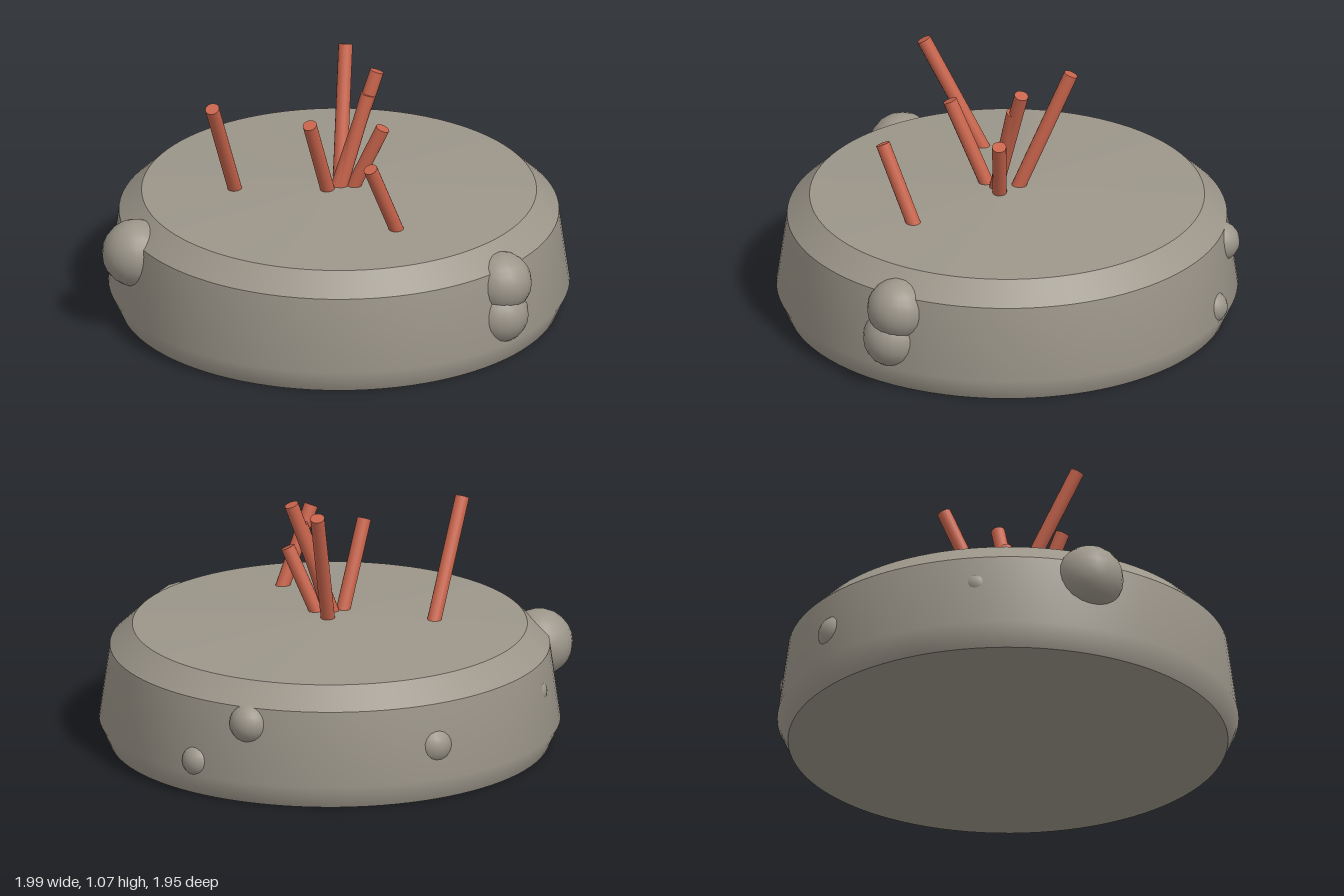
import * as THREE from 'three';

export function createModel() {
  const model = new THREE.Group();
  const stone = new THREE.MeshStandardMaterial({ color: 0x9c968a });
  const rust = new THREE.MeshStandardMaterial({ color: 0xc8644c });
  stone.name = 'stone';
  rust.name = 'rust';
  const CX = -0.025, CZ = -0.01; // axis of the slab

  const add = (name, geometry, material, x, y, z) => {
    const mesh = new THREE.Mesh(geometry, material);
    mesh.name = name;
    mesh.position.set(x, y, z);
    model.add(mesh);
    return mesh;
  };

  // Slab: one lathe per band, so the edges between bands stay sharp
  const bands = {
    slabBottom: [[0, 0], [0.925, 0]],
    slabWall: [[0.925, 0], [0.97, 0.1], [0.925, 0.42]],
    slabBevel: [[0.925, 0.42], [0.83, 0.51]],
    slabTop: [[0.83, 0.51], [0, 0.555]],
  };
  for (const [name, profile] of Object.entries(bands)) {
    const points = profile.map(([r, y]) => new THREE.Vector2(r, y));
    add(name, new THREE.LatheGeometry(points, 96), stone, CX, 0, CZ);
  }

  // Rounded stones sunk into the rim: x, y, z, radius
  const lumps = [
    [-0.365, 0.355, 0.83, 0.143],
    [0.86, 0.345, -0.135, 0.13],
    [0.87, 0.21, -0.115, 0.125],
    [-0.91, 0.235, -0.125, 0.085],
    [-0.5, 0.345, -0.775, 0.085],
    [-0.298, 0.15, -0.892, 0.07],
    [-0.734, 0.295, 0.53, 0.06],
  ];
  for (const [x, y, z, r] of lumps) {
    add('rimStone', new THREE.SphereGeometry(r, 18, 12), stone, x, y, z);
  }

  // Bent reinforcing rods: base point, tip point
  const rods = [
    [[-0.045, 0.5, -0.03], [-0.207, 1.06, -0.208]],
    [[0, 0.5, 0.04], [0.055, 1.04, -0.152]],
    [[0.01, 0.5, 0.03], [0.05, 0.945, -0.105]],
    [[0.03, 0.5, -0.015], [0.145, 0.82, -0.105]],
    [[-0.005, 0.5, 0.06], [0.06, 0.905, 0.23]],
    [[-0.298, 0.5, 0.325], [-0.18, 1.0, 0.565]],
    [[0.463, 0.49, 0.085], [0.475, 0.85, 0.257]],
  ];
  const up = new THREE.Vector3(0, 1, 0);
  for (const [base, tip] of rods) {
    const a = new THREE.Vector3(...base), b = new THREE.Vector3(...tip);
    const dir = b.clone().sub(a);
    const mid = a.clone().add(b).multiplyScalar(0.5);
    const rod = add('rod', new THREE.CylinderGeometry(0.03, 0.03, dir.length(), 16), rust, mid.x, mid.y, mid.z);
    rod.quaternion.setFromUnitVectors(up, dir.normalize());
  }

  return model;
}
